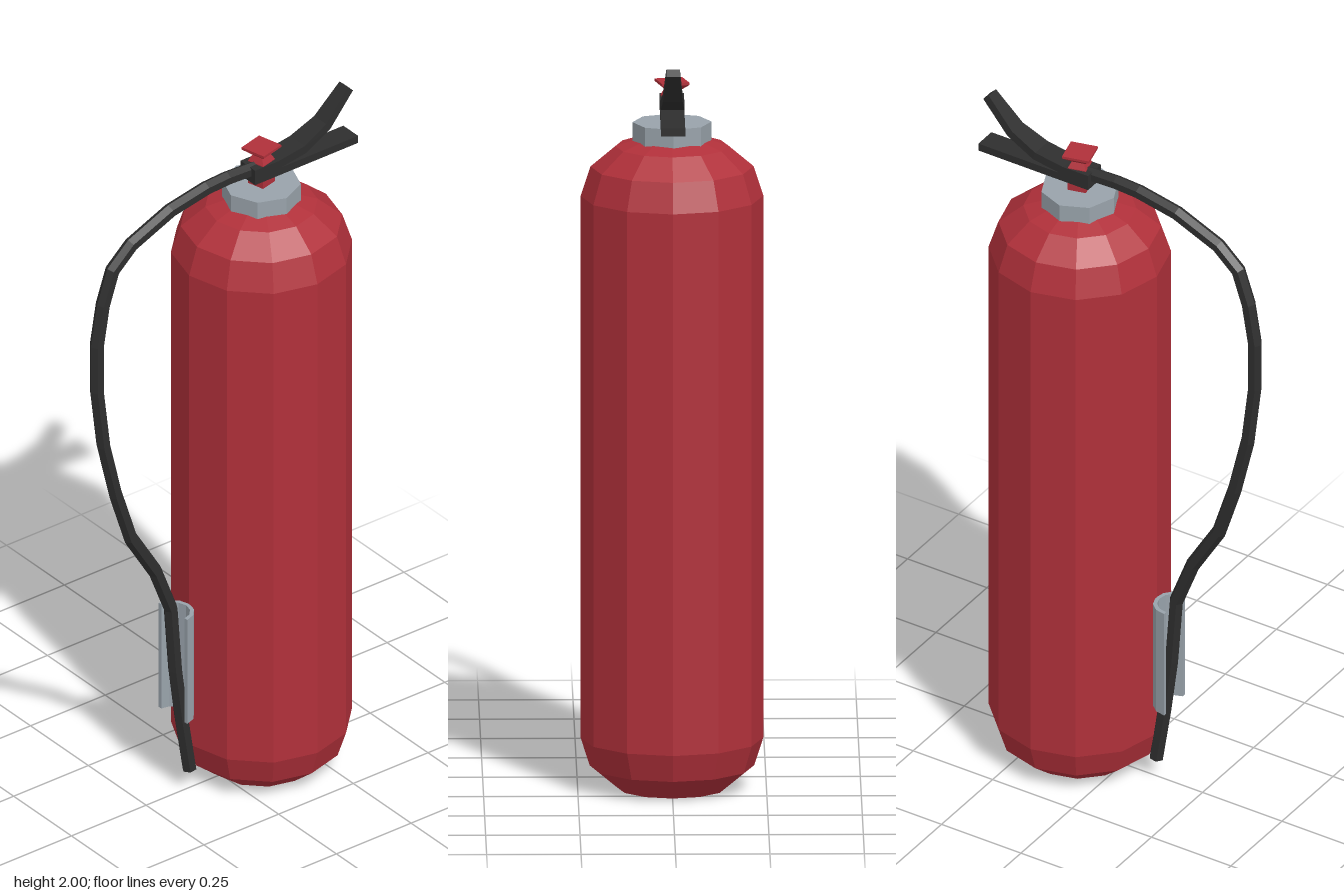
import * as THREE from 'three';

const AXIS_Z = -0.136; // centre line of the tank

const red = new THREE.MeshStandardMaterial({ color: 0xb0303a });
red.name = 'tank red';
const steel = new THREE.MeshStandardMaterial({ color: 0x98a2aa });
steel.name = 'steel grey';
const black = new THREE.MeshStandardMaterial({ color: 0x2e2e2e });
black.name = 'rubber black';

// Faceted mesh: one normal per triangle
function part(name, geometry, material) {
  const flat = geometry.index ? geometry.toNonIndexed() : geometry;
  flat.computeVertexNormals();
  const mesh = new THREE.Mesh(flat, material);
  mesh.name = name;
  return mesh;
}

// Turned part around the tank axis, profile given as [radius, height] from the bottom up
function turned(name, profile, sides, material, turn = 0) {
  const points = profile.map(([r, y]) => new THREE.Vector2(r, y));
  const mesh = part(name, new THREE.LatheGeometry(points, sides), material);
  mesh.position.z = AXIS_Z;
  mesh.rotation.y = turn;
  return mesh;
}

// Sweeps a section along a path of [z, y] points; section(i) lists [x, offset] counter-clockwise
function sweep(path, section) {
  const verts = [], index = [];
  const n = section(0).length, last = path.length - 1;
  const pts = path.map(([z, y]) => new THREE.Vector2(z, y));
  pts.forEach((p, i) => {
    const t = pts[Math.min(i + 1, last)].clone().sub(pts[Math.max(i - 1, 0)]).normalize();
    for (const [x, o] of section(i)) verts.push(x, p.y + o * t.x, p.x - o * t.y);
  });
  for (let i = 0; i < last; i++) {
    for (let j = 0; j < n; j++) {
      const a = i * n + j, b = i * n + (j + 1) % n;
      index.push(a, b, b + n, a, b + n, a + n);
    }
  }
  for (let j = 1; j < n - 1; j++) {
    index.push(0, j + 1, j);
    index.push(last * n, last * n + j, last * n + j + 1);
  }
  const geometry = new THREE.BufferGeometry();
  geometry.setAttribute('position', new THREE.Float32BufferAttribute(verts, 3));
  geometry.setIndex(index);
  return geometry;
}

export function createModel() {
  const model = new THREE.Group();
  model.name = 'fireExtinguisher';

  // Tank, collar, valve stem with flared knob
  model.add(turned('tank', [
    [0, 0], [0.145, 0], [0.218, 0.06], [0.242, 0.135], [0.242, 1.6],
    [0.216, 1.68], [0.15, 1.735], [0.09, 1.755], [0, 1.755],
  ], 12, red));
  model.add(turned('collar', [[0, 1.745], [0.105, 1.745], [0.105, 1.8], [0, 1.8]], 8, steel, 0.03));
  const knobTurn = THREE.MathUtils.degToRad(59);
  model.add(turned('valveStem', [
    [0, 1.79], [0.036, 1.79], [0.036, 1.87], [0.024, 1.887], [0.053, 1.905], [0.053, 1.912], [0, 1.912],
  ], 4, red, knobTurn));

  // Fixed lower handle
  const handle = part('lowerHandle', new THREE.BoxGeometry(0.064, 0.022, 0.345), black);
  handle.position.set(0, 1.834, -0.2625);
  model.add(handle);

  // Upper lever, bending up and narrowing to its tip
  const leverPath = [[-0.09, 1.856], [-0.17, 1.856], [-0.26, 1.87], [-0.34, 1.908], [-0.42, 1.991]];
  const leverHalfWidth = [0.032, 0.032, 0.032, 0.026, 0.018];
  model.add(part('upperLever', sweep(leverPath, (i) => {
    const w = leverHalfWidth[i], h = 0.012;
    return [[-w, -h], [w, -h], [w, h], [-w, h]];
  }), black));

  // Hose, six-sided, looping forward and down into the clip
  const hosePath = [
    [-0.13, 1.852], [-0.02, 1.856], [0.05, 1.852], [0.17, 1.828], [0.3, 1.772], [0.363, 1.715],
    [0.395, 1.62], [0.415, 1.5], [0.415, 1.36], [0.393, 1.18], [0.352, 1.01], [0.302, 0.855],
    [0.22, 0.72], [0.168, 0.585], [0.153, 0.39], [0.132, 0.23], [0.105, 0.06],
  ];
  const hexagon = Array.from({ length: 6 }, (_, j) => {
    const a = Math.PI / 2 + (j * Math.PI) / 3;
    return [0.02 * Math.cos(a), 0.02 * Math.sin(a)];
  });
  model.add(part('hose', sweep(hosePath, () => hexagon), black));

  // Hose clip: a C-shaped channel open to the front
  const clipShape = new THREE.Shape();
  const arc = (r, i) => {
    const a = THREE.MathUtils.degToRad(4 + (i * 180) / 6);
    return new THREE.Vector2(r * Math.cos(a), r * Math.sin(a));
  };
  const outline = [];
  for (let i = 0; i <= 6; i++) outline.push(arc(0.057, i));
  for (let i = 6; i >= 0; i--) outline.push(arc(0.046, i));
  clipShape.setFromPoints(outline);
  const clip = part('hoseClip',
    new THREE.ExtrudeGeometry(clipShape, { depth: 0.325, bevelEnabled: false }), steel);
  clip.rotation.x = -Math.PI / 2;
  clip.position.set(0.001, 0.247, 0.161);
  model.add(clip);

  return model;
}
